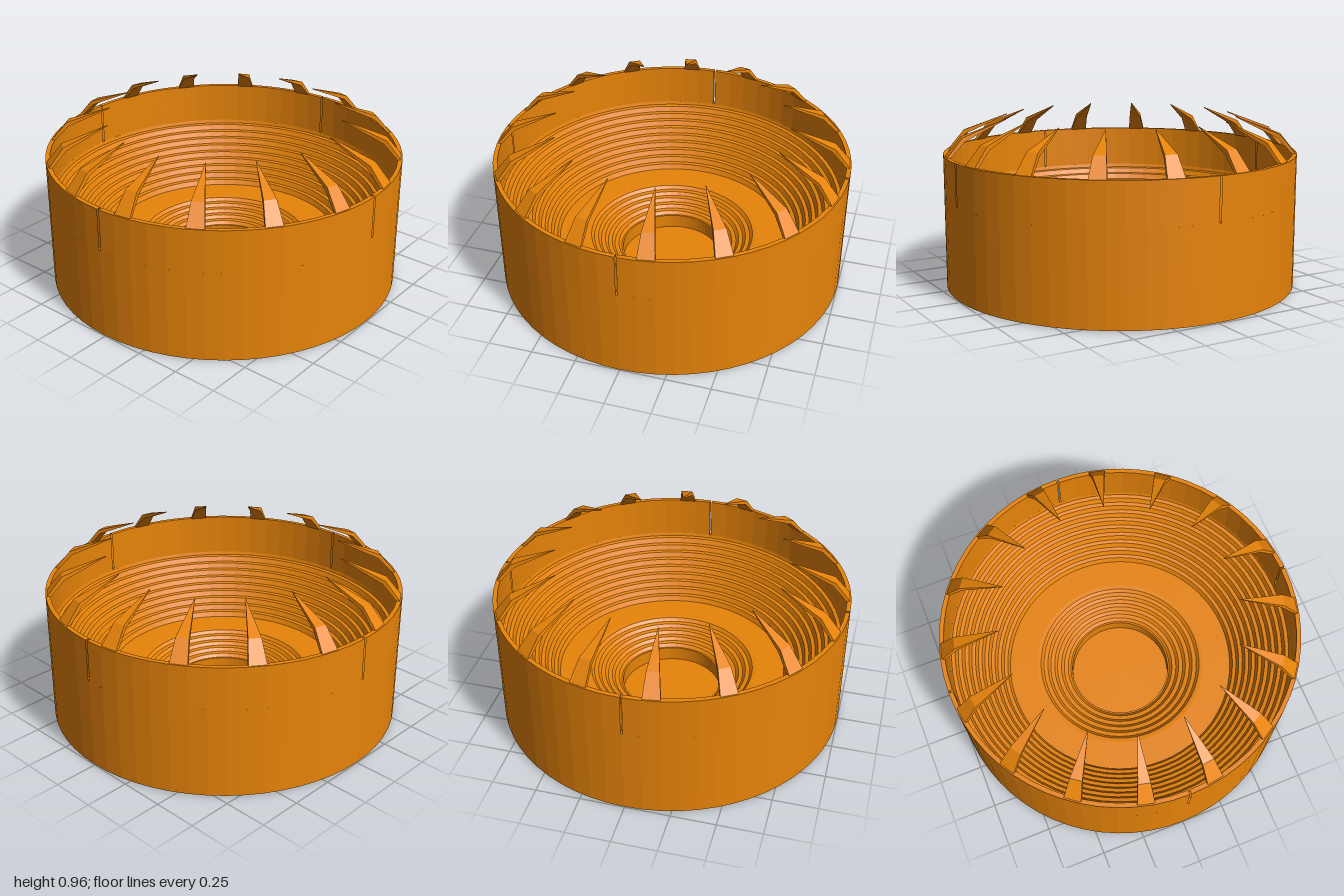
import * as THREE from 'three';

const SEGMENTS = 64;
const OFFSET = THREE.MathUtils.degToRad(8.7); // turn shared by teeth and lugs

const orange = new THREE.MeshStandardMaterial({ name: 'orange', color: 0xf28a0a, flatShading: true, side: THREE.DoubleSide });
const paleGrey = new THREE.MeshStandardMaterial({ name: 'pale grey', color: 0xf0f0f0 });

// Staircase profile from one radius and height down to another
function steps(r0, y0, r1, y1, count) {
  const pts = [];
  const dr = (r1 - r0) / count, dy = (y1 - y0) / count;
  for (let i = 0; i < count; i++) {
    pts.push([r0 + dr * i, y0 + dy * i]);
    pts.push([r0 + dr * (i + 0.6), y0 + dy * (i + 0.12)]);
  }
  pts.push([r1, y1]);
  return pts;
}

function lathe(name, profile, segments = SEGMENTS, start = 0, length = Math.PI * 2) {
  const pts = profile.map(([r, y]) => new THREE.Vector2(r, y));
  const mesh = new THREE.Mesh(new THREE.LatheGeometry(pts, segments, start, length), orange);
  mesh.name = name;
  return mesh;
}

// Bent, inward-leaning spike made of three rectangular sections
function toothGeometry() {
  // half width, outer radius, outer height, inner radius, inner height
  const sections = [
    [0.048, 0.995, 0.755, 0.975, 0.755],
    [0.034, 0.905, 0.865, 0.89, 0.845],
    [0.001, 0.655, 0.96, 0.655, 0.955],
  ];
  const positions = [], index = [];
  for (const [w, ro, yo, ri, yi] of sections) {
    positions.push(-w, yo, ro, w, yo, ro, w, yi, ri, -w, yi, ri);
  }
  for (let s = 0; s < sections.length - 1; s++) {
    for (let k = 0; k < 4; k++) {
      const a = s * 4 + k, b = s * 4 + (k + 1) % 4;
      index.push(a, b, b + 4, a, b + 4, a + 4);
    }
  }
  const geometry = new THREE.BufferGeometry();
  geometry.setAttribute('position', new THREE.Float32BufferAttribute(positions, 3));
  geometry.setIndex(index);
  geometry.computeVertexNormals();
  return geometry;
}

export function createModel() {
  const model = new THREE.Group();
  model.name = 'steppedBowl';

  // Outer drum, stepped bowl and small central cup
  model.add(lathe('bowl', [
    [1, 0.004], [1, 0.52], [0.975, 0.52],
    ...steps(0.97, 0.5, 0.66, 0.2, 9),
    ...steps(0.5, 0.2, 0.3, 0.1, 5),
    [0.29, 0.1], [0.29, 0.015], [0, 0.015],
  ]));

  // Underside of the cup and the recess around it
  model.add(lathe('underside', [
    [0, 0], [0.29, 0], [0.3, 0.004], [0.3, 0.08],
    ...steps(0.5, 0.18, 0.3, 0.08, 5).reverse(),
    [0.545, 0.18], [0.545, 0.004],
  ]));

  // Upper wall in four quarters with hairline slits between them
  const gap = 0.005;
  for (let i = 0; i < 4; i++) {
    model.add(lathe('rimQuarter', [
      [0.975, 0.5], [1, 0.52], [1, 0.76], [0.975, 0.76], [0.975, 0.5],
    ], SEGMENTS / 4, i * Math.PI / 2 + gap, Math.PI / 2 - 2 * gap));
  }

  // Flat base ring
  const base = new THREE.Mesh(new THREE.RingGeometry(0.545, 1, SEGMENTS), paleGrey);
  base.name = 'baseRing';
  base.rotation.x = Math.PI / 2;
  base.position.y = 0.004;
  model.add(base);

  // Sixteen teeth around the rim
  const toothShape = toothGeometry();
  for (let i = 0; i < 16; i++) {
    const tooth = new THREE.Mesh(toothShape, orange);
    tooth.name = 'tooth';
    tooth.rotation.y = OFFSET + i * Math.PI / 8;
    model.add(tooth);
  }

  // Eight small lugs around the cup
  const lugShape = new THREE.BoxGeometry(0.03, 0.045, 0.07).translate(0, 0.0225, 0.325);
  for (let i = 0; i < 8; i++) {
    const lug = new THREE.Mesh(lugShape, orange);
    lug.name = 'lug';
    lug.rotation.y = OFFSET + i * Math.PI / 4;
    model.add(lug);
  }

  return model;
}
